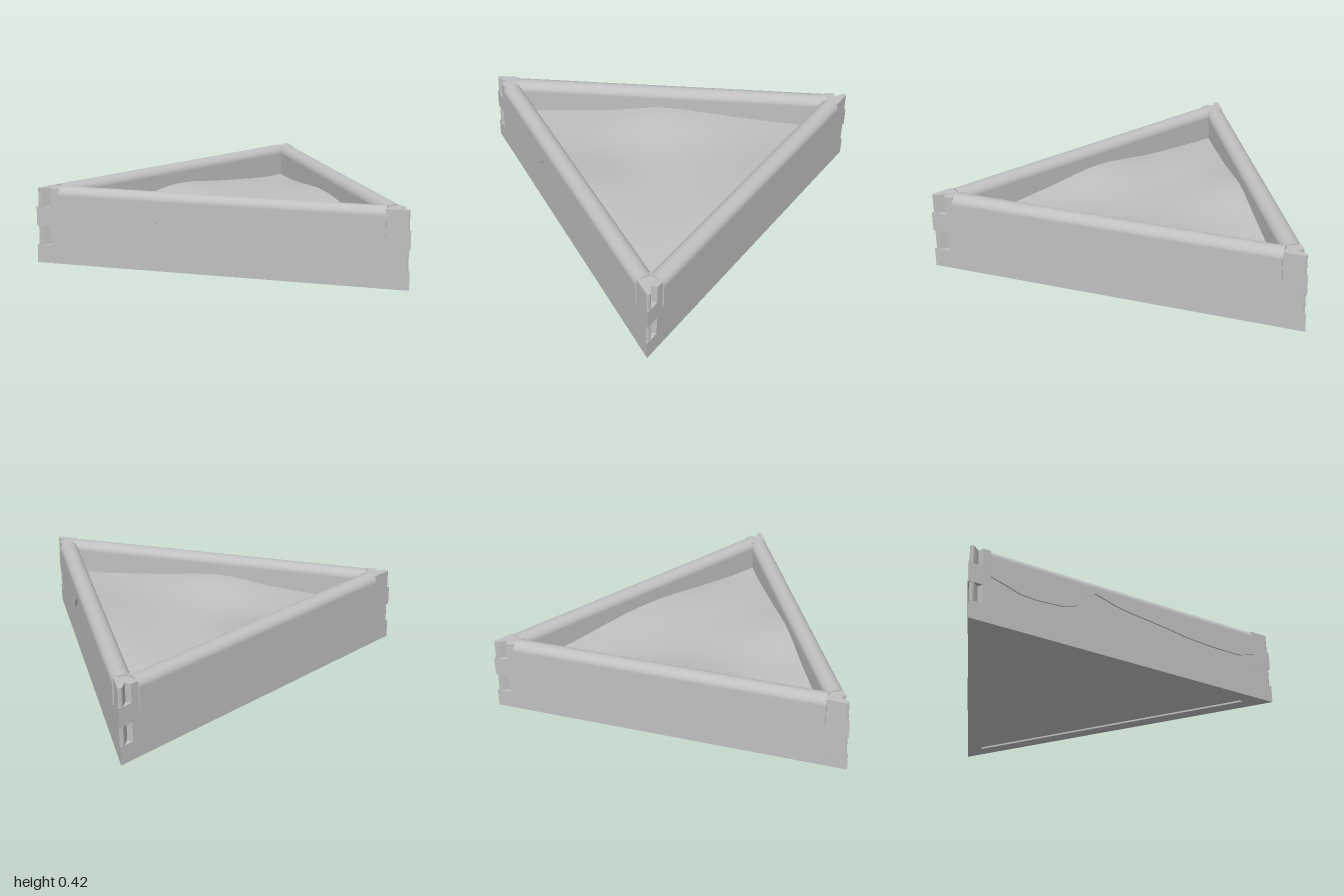
import * as THREE from 'three';

const OUT = 0.577, INN = 0.492, HALF = 0.852; // wall faces from the centroid, inner half length
const LIP = 0.875, SKIN = 0.008;
// wavy lower edge of the outer skin along each wall
const WAVE = [[-0.875, 0.26], [-0.78, 0.235], [-0.7, 0.21], [-0.6, 0.203], [-0.43, 0.213], [-0.35, 0.24],
  [-0.3, 0.29], [-0.23, 0.345], [-0.1, 0.31], [0, 0.293], [0.13, 0.28], [0.3, 0.26], [0.36, 0.25],
  [0.45, 0.242], [0.6, 0.235], [0.78, 0.235], [0.82, 0.255], [0.875, 0.265]];

const shapeOf = pts => new THREE.Shape(pts.map(([x, y]) => new THREE.Vector2(x, y)));
const extrude = (shape, depth) => new THREE.ExtrudeGeometry(shape, { depth, bevelEnabled: false, curveSegments: 16 });

// upright prism from a plan outline of [x, z] points
function prism(plan, y0, y1) {
  return extrude(shapeOf(plan.map(([x, z]) => [x, -z])), y1 - y0).rotateX(-Math.PI / 2).translate(0, y0, 0);
}

// gentle floor that swells towards the middle of each wall
function terrainHeight(x, z) {
  let y = 0.245 + 0.005 * Math.sin(9 * x + 1) * Math.cos(8 * z);
  for (let k = 0; k < 3; k++) {
    const t = k * Math.PI * 2 / 3, c = Math.cos(t), s = Math.sin(t);
    const d = INN - (x * c - z * s), along = x * s + z * c;
    y += 0.06 * Math.exp(-((along / 0.4) ** 2) - (d / 0.3) ** 2);
  }
  return y;
}

function terrainGeometry(n = 60) {
  const pos = [], idx = [], at = (i, j) => i * (i + 1) / 2 + j;
  for (let i = 0; i <= n; i++) for (let j = 0; j <= i; j++) {
    const x = -2 * INN + 3 * INN * i / n, z = HALF * (2 * j - i) / n;
    pos.push(x, terrainHeight(x, z), z);
    if (i < n) idx.push(at(i, j), at(i + 1, j + 1), at(i + 1, j));
    if (j < i && i < n) idx.push(at(i, j), at(i, j + 1), at(i + 1, j + 1));
  }
  const g = new THREE.BufferGeometry();
  g.setAttribute('position', new THREE.Float32BufferAttribute(pos, 3));
  g.setIndex(idx);
  g.computeVertexNormals();
  return g;
}

export function createModel() {
  const grey = new THREE.MeshStandardMaterial({ color: 0xc0c0c0 });
  grey.name = 'grey';
  const model = new THREE.Group();
  model.name = 'triangularTray';
  const add = (parent, name, geometry) => {
    const mesh = new THREE.Mesh(geometry, grey);
    mesh.name = name;
    parent.add(mesh);
  };

  // wall body and rounded lip
  const body = prism([[OUT, -LIP], [OUT, LIP], [INN, HALF], [INN, -HALF]], 0, 0.378);
  const mid = (OUT + INN) / 2, r = (OUT - INN) / 2 + SKIN;
  const lipShape = new THREE.Shape();
  lipShape.moveTo(mid + r, 0.37);
  lipShape.lineTo(mid + r, 0.376);
  lipShape.absellipse(mid, 0.376, r, 0.045, 0, Math.PI, false);
  lipShape.lineTo(mid - r, 0.37);
  const lip = extrude(lipShape, 2 * LIP).translate(0, 0, -LIP);

  // thin outer skin hanging from the lip, wavy below
  const skin = extrude(shapeOf([...WAVE, [LIP, 0.376], [-LIP, 0.376]]), SKIN)
    .rotateY(Math.PI / 2).translate(OUT, 0, 0);

  // corner finger joint, alternating full tips and recessed rounded tips
  const root = [[0.469, 0.9375], [INN, HALF], [OUT, LIP], [OUT, 0.92]];
  const fullTip = [...root, [OUT, 1]];
  const roundTip = [...root, [0.545, 0.93], [0.573, 0.968], [0.577, 0.979], [0.573, 0.99], [0.562, 0.991]];

  for (let k = 0; k < 3; k++) {
    const side = new THREE.Group();
    side.name = 'side' + (k + 1);
    side.rotation.y = k * Math.PI * 2 / 3;
    add(side, 'wall', body);
    add(side, 'lip', lip);
    add(side, 'wavySkin', skin);
    [0, 0.1, 0.205, 0.31, 0.412].forEach((y, i, ys) => {
      if (i < 4) add(side, 'cornerFinger' + (i + 1), prism(i % 2 ? roundTip : fullTip, y, ys[i + 1]));
    });
    model.add(side);
  }

  // uneven floor and the panel closing the underside
  add(model, 'terrain', terrainGeometry());
  add(model, 'underside', prism([[-2 * INN, 0], [INN, -HALF], [INN, HALF]], 0.01, 0.02));

  model.children.forEach(part => { part.position.x = 0.289; });
  return model;
}
